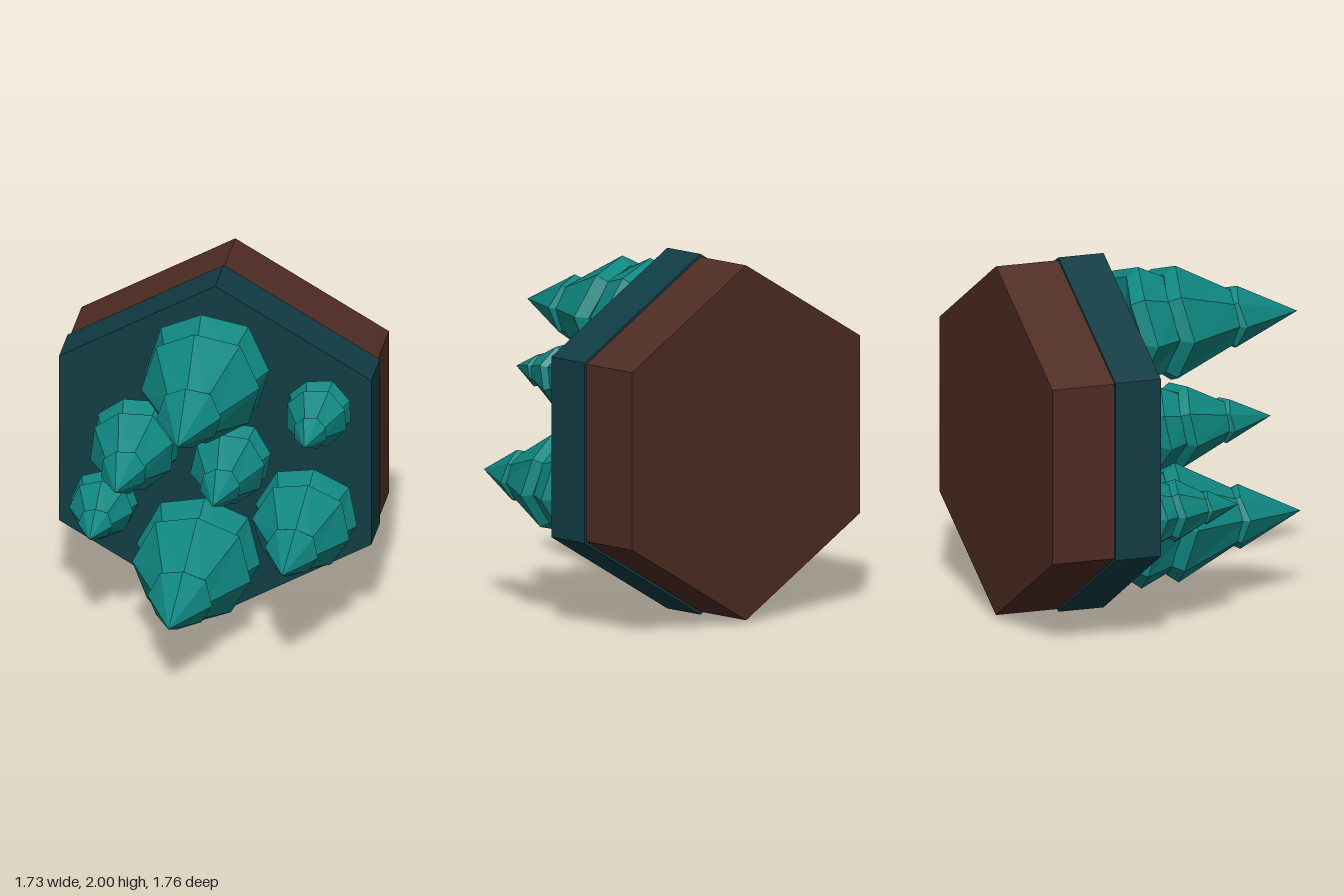
import * as THREE from 'three';

const flat = (name, color) => {
  const m = new THREE.MeshStandardMaterial({ color, flatShading: true });
  m.name = name;
  return m;
};

export function createModel() {
  const model = new THREE.Group();
  model.name = 'forestTile';
  const foliage = flat('foliage teal', 0x0f8781);
  const grass = flat('grass dark teal', 0x103c43);
  const soil = flat('soil brown', 0x4f2c23);

  const add = (parent, name, geo, mat) => {
    const mesh = new THREE.Mesh(geo, mat);
    mesh.name = name;
    parent.add(mesh);
    return mesh;
  };

  // Hexagonal slab lying between two z positions
  const slab = (name, radius, z0, z1, mat) => {
    const geo = new THREE.CylinderGeometry(radius, radius, z1 - z0, 6).rotateX(Math.PI / 2);
    add(model, name, geo, mat).position.set(0, 1, (z0 + z1) / 2);
  };
  slab('grassLayer', 1, -0.515, -0.25, grass);
  slab('soilLayer', 0.984, -0.88, -0.51, soil);

  // One foliage tier: a cone with a zigzag rim and a bevelled underside
  const SIDES = 8;
  const tier = (rim, rimH, top, topH, wave) => {
    const profile = [
      [0, rimH - wave * 0.6], [rim * 0.86, rimH - wave * 1.3], [rim, rimH], [top, topH],
    ].map(([r, h]) => new THREE.Vector2(r, h));
    const geo = new THREE.LatheGeometry(profile, SIDES);
    const pos = geo.attributes.position;
    for (let i = 0; i <= SIDES; i++) {
      for (const j of [1, 2]) {
        const k = i * profile.length + j;
        pos.setY(k, pos.getY(k) + (i % 2 ? -0.5 : 0.5) * wave);
      }
    }
    geo.computeVertexNormals();
    return geo;
  };

  // Trees grow along +z: x, y, widest radius, foliage base z, tip z, turn
  const trees = [
    [-0.01, 1.57, 0.345, -0.09, 0.88, 0.1],
    [-0.06, 0.455, 0.345, -0.09, 0.88, -0.1],
    [-0.41, 1.105, 0.25, -0.12, 0.57, 0.3],
    [0.115, 1.025, 0.22, -0.14, 0.48, 0.2],
    [0.53, 0.72, 0.285, -0.13, 0.65, -0.15],
    [0.595, 1.345, 0.183, -0.165, 0.32, 0.4],
    [-0.6, 0.675, 0.185, -0.19, 0.305, 0],
  ];
  trees.forEach(([x, y, r, base, tip, turn], n) => {
    const tree = new THREE.Group();
    tree.name = 'tree' + (n + 1);
    tree.position.set(x, y, 0);
    const len = tip - base;
    const h = (t) => base + len * t;
    const wave = r * 0.15;
    const parts = [
      ['lowerFoliage', tier(r, h(0), r * 0.76, h(0.21), wave)],
      ['middleFoliage', tier(r * 0.96, h(0.225), r * 0.42, h(0.62), wave)],
      ['upperFoliage', tier(r * 0.52, h(0.61), 0, tip, wave * 0.7)],
    ];
    for (const [name, geo] of parts) {
      add(tree, name, geo.rotateY(turn).rotateX(Math.PI / 2), foliage);
    }
    // Trunk, slightly flared toward the ground
    const bottom = -0.27, height = h(0.08) - bottom;
    const trunk = new THREE.CylinderGeometry(r * 0.26, r * 0.31, height, 7).rotateX(Math.PI / 2);
    add(tree, 'trunk', trunk, soil).position.z = bottom + height / 2;
    model.add(tree);
  });

  return model;
}
